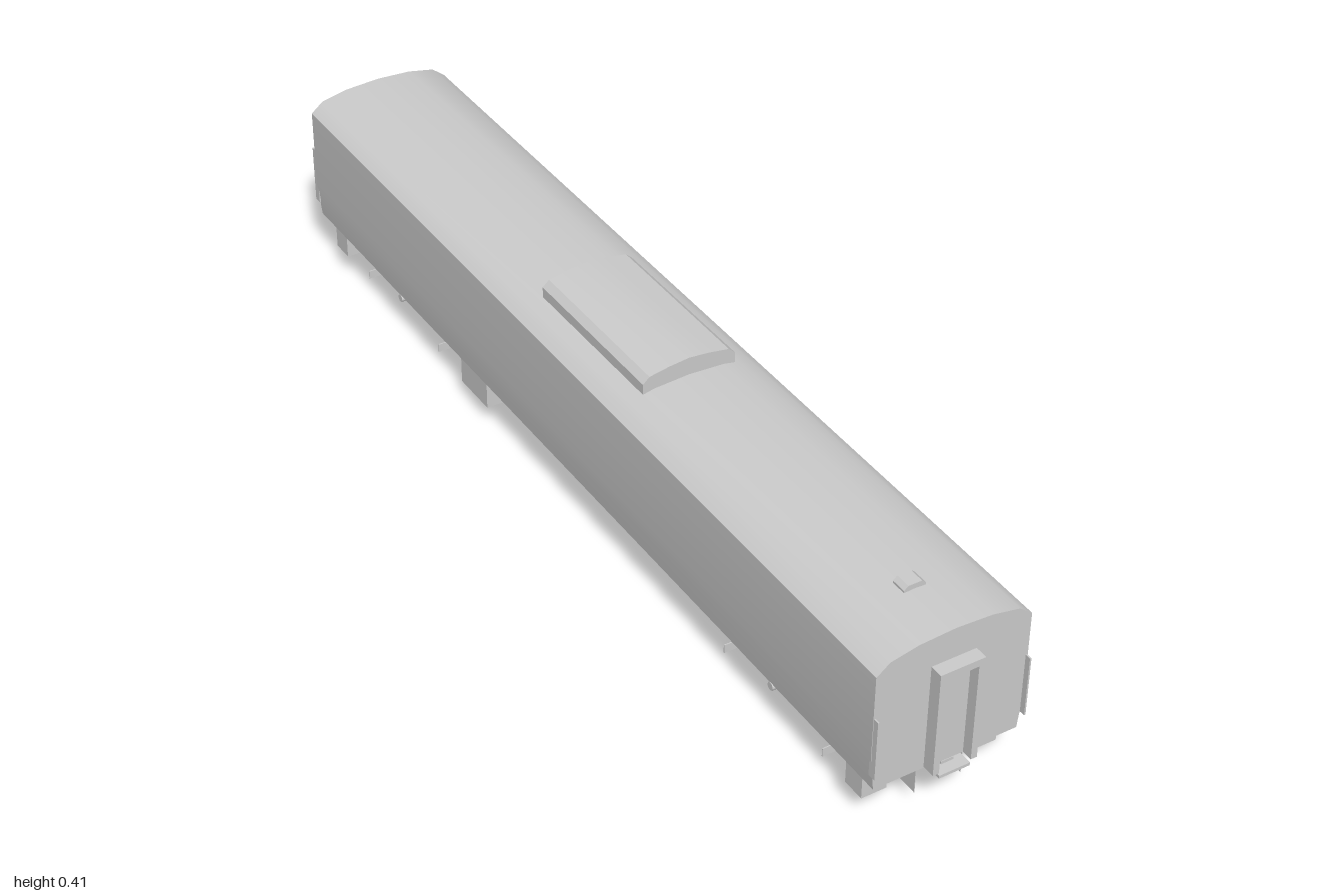
import * as THREE from 'three';
import { toCreasedNormals } from 'three/addons/utils/BufferGeometryUtils.js';

const material = new THREE.MeshStandardMaterial({ color: 0xcccccc, side: THREE.DoubleSide });

export function createModel() {
  const root = new THREE.Group();

  const add = (name, geometry, x = 0, y = 0, z = 0, parent = root) => {
    const mesh = new THREE.Mesh(geometry, material);
    mesh.name = name;
    mesh.position.set(x, y, z);
    parent.add(mesh);
    return mesh;
  };

  // Box given by its limits on each axis
  const box = (name, [x0, x1], [y0, y1], [z0, z1], parent = root) =>
    add(name, new THREE.BoxGeometry(Math.abs(x1 - x0), y1 - y0, z1 - z0),
      (x0 + x1) / 2, (y0 + y1) / 2, (z0 + z1) / 2, parent);

  // Symmetric cross-section (right half, bottom to top) run along z
  const section = (name, half, z0, z1) => {
    const left = half.filter(([x]) => x > 0).map(([x, y]) => [-x, y]).reverse();
    const shape = new THREE.Shape([...half, ...left].map(([x, y]) => new THREE.Vector2(x, y)));
    const geometry = new THREE.ExtrudeGeometry(shape, { depth: z1 - z0, bevelEnabled: false });
    return add(name, toCreasedNormals(geometry, 0.5), 0, 0, z0);
  };

  // Body shell and roof fittings
  section('carBody', [[0.14, 0.098], [0.148, 0.17], [0.148, 0.335], [0.123, 0.355],
    [0.07, 0.366], [0, 0.37]], -0.975, 0.975);
  section('roofHousing', [[0.093, 0.355], [0.093, 0.382], [0.08, 0.394], [0.04, 0.401],
    [0, 0.405]], -0.145, 0.2);
  section('roofVent', [[0.021, 0.366], [0.021, 0.373], [0.013, 0.38]], 0.835, 0.865);

  // Gangway frame, corner plates and coupler plate at both ends
  for (const end of [1, -1]) {
    const group = new THREE.Group();
    group.name = end > 0 ? 'frontEnd' : 'backEnd';
    if (end < 0) group.rotation.y = Math.PI;
    root.add(group);
    for (const s of [1, -1]) {
      box('gangwayPost', [s * 0.031, s * 0.043], [0.1, 0.31], [0.97, 1], group);
      box('cornerPlate', [s * 0.144, s * 0.147], [0.13, 0.25], [0.97, 0.986], group);
    }
    box('gangwayLintel', [-0.031, 0.031], [0.296, 0.31], [0.97, 1], group);
    box('gangwayDoor', [-0.031, 0.031], [0.1, 0.296], [0.97, 0.979], group);
    box('couplerPlate', [-0.03, 0.03], [0.088, 0.094], [0.93, 1], group);
    box('couplerMount', [-0.012, 0.012], [0.092, 0.1], [0.93, 0.98], group);
  }

  // Long underframe beams
  for (const s of [1, -1]) {
    box('underframeBeam', [s * 0.045, s * 0.046], [0.033, 0.1], [-0.95, 0.96]);
  }

  // Bogies: four wheels, side frames, springs
  const wheelGeometry = new THREE.CylinderGeometry(0.0435, 0.0435, 0.013, 24);
  wheelGeometry.rotateZ(Math.PI / 2);
  const frameShape = new THREE.Shape([[-0.14, 0.033], [0.14, 0.033], [0.148, 0.042],
    [0.148, 0.074], [0.138, 0.083], [-0.138, 0.083], [-0.148, 0.074], [-0.148, 0.042]]
    .map(([z, y]) => new THREE.Vector2(z, y)));
  const frameGeometry = new THREE.ExtrudeGeometry(frameShape, { depth: 0.004, bevelEnabled: false });
  frameGeometry.rotateY(Math.PI / 2);

  for (const centre of [0.667, -0.655]) {
    const bogie = new THREE.Group();
    bogie.name = centre > 0 ? 'frontBogie' : 'backBogie';
    bogie.position.z = centre;
    root.add(bogie);
    for (const s of [1, -1]) {
      for (const z of [0.11, -0.11]) add('wheel', wheelGeometry, s * 0.07, 0.0435, z, bogie);
      add('sideFrame', frameGeometry, s * 0.097 - 0.002, 0, 0, bogie);
      for (const z of [0.147, -0.149]) {
        box('frameEnd', [s * 0.085, s * 0.125], [0.033, 0.05], [z, z + 0.002], bogie);
      }
      box('bolsterEnd', [s * 0.085, s * 0.122], [0.08, 0.098], [-0.02, 0.02], bogie);
      const bolt = new THREE.CylinderGeometry(0.008, 0.008, 0.03, 10).rotateZ(Math.PI / 2);
      add('damper', bolt, s * 0.115, 0.073, 0, bogie);
      box('frameBracket', [s * 0.098, s * 0.102], [0.04, 0.098], [-0.125, -0.095], bogie);
    }
  }

  // Equipment hung under the floor
  const boxes = [
    ['endBox', 0.897, 0.942, 0.05], ['endBox', -0.92, -0.873, 0.05],
  ];
  for (const [name, z0, z1, y0] of boxes) {
    box(name, [0.08, 0.128], [y0, 0.1], [z0, z1]);
    box(name, [-0.137, -0.088], [y0, 0.1], [z0, z1]);
  }
  box('equipmentPanel', [0.112, 0.118], [0.048, 0.1], [0.28, 0.41]);
  box('batteryBox', [0.08, 0.128], [0.04, 0.1], [-0.34, -0.24]);
  box('batteryBox', [-0.137, -0.088], [0.04, 0.1], [-0.39, -0.29]);
  box('valveBox', [0.085, 0.115], [0.068, 0.1], [0, 0.04]);
  for (const [x, z0, z1] of [[0.105, 0.06, 0.155], [-0.108, -0.03, 0.12]]) {
    const tank = new THREE.CylinderGeometry(0.014, 0.014, z1 - z0, 12).rotateX(Math.PI / 2);
    add('airTank', tank, x, 0.078, (z0 + z1) / 2);
    box('tankHanger', [x - 0.003, x + 0.003], [0.085, 0.1], [z0 + 0.02, z1 - 0.02]);
  }
  const brake = new THREE.CylinderGeometry(0.013, 0.013, 0.075, 10).rotateZ(Math.PI / 2);
  add('brakeCylinder', brake, -0.05, 0.069, 0.5);

  return root;
}
